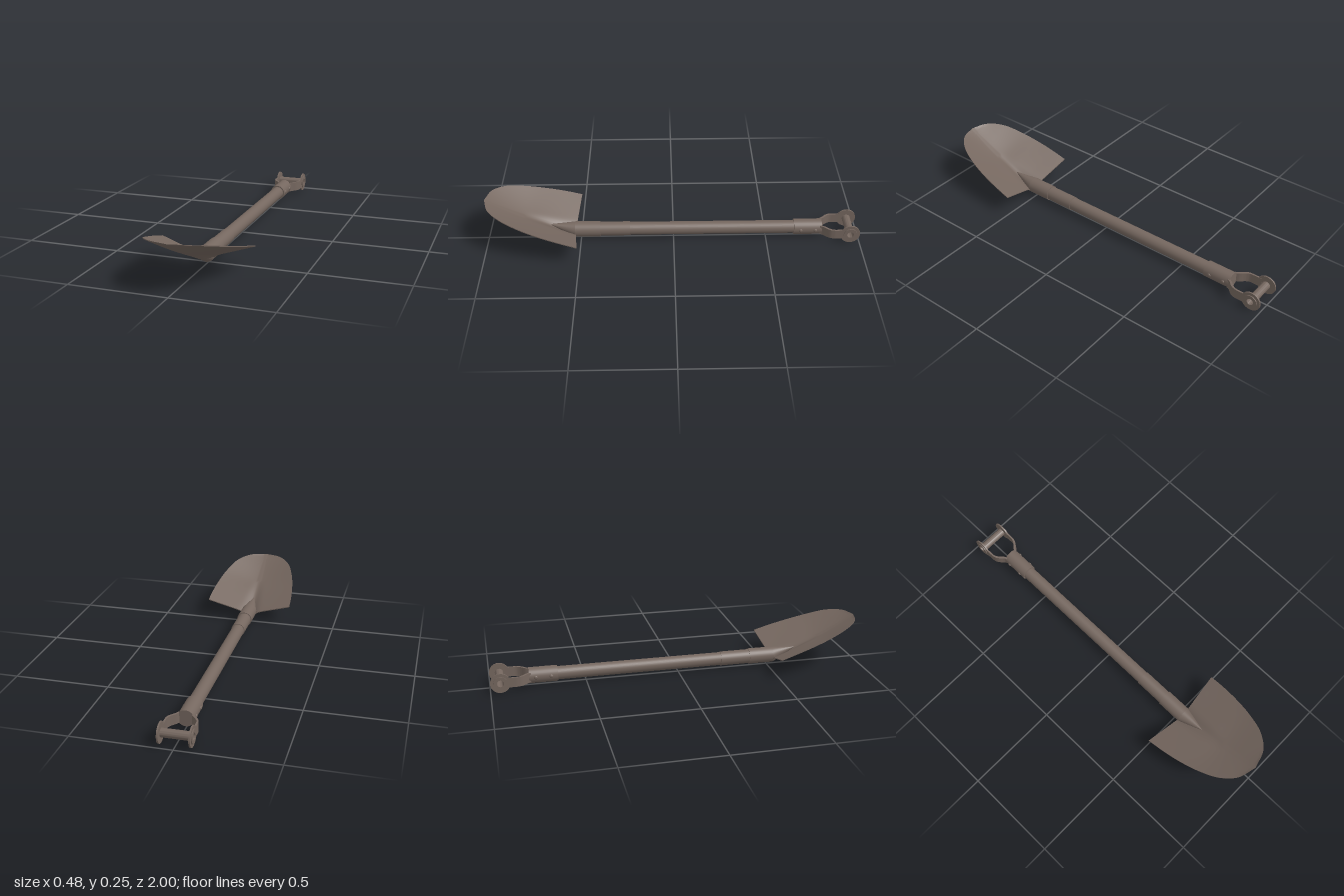
import * as THREE from 'three';
import { toCreasedNormals } from 'three/addons/utils/BufferGeometryUtils.js';

const steel = new THREE.MeshStandardMaterial({ color: 0x75675f, side: THREE.DoubleSide });
steel.name = 'brownSteel';
const AXIS_Y = 0.053;

function add(group, name, geometry) {
  const mesh = new THREE.Mesh(geometry, steel);
  mesh.name = name;
  group.add(mesh);
  return mesh;
}

// Round bar along z between two stations
function bar(group, name, z0, z1, r0, r1 = r0) {
  const g = new THREE.CylinderGeometry(r1, r0, z1 - z0, 32);
  g.rotateX(Math.PI / 2);
  g.translate(0, AXIS_Y, (z0 + z1) / 2);
  return add(group, name, g);
}

// Flat ring or tube along x
function ring(outer, inner, x0, x1) {
  const s = new THREE.Shape().absarc(0, 0, outer, 0, Math.PI * 2);
  s.holes.push(new THREE.Path().absarc(0, 0, inner, 0, Math.PI * 2, true));
  const g = new THREE.ExtrudeGeometry(s, { depth: x1 - x0, bevelEnabled: false, curveSegments: 20 });
  g.rotateY(Math.PI / 2);
  g.translate(x0, AXIS_Y, -0.948);
  return toCreasedNormals(g, 0.6);
}

// Dished blade: rows between a centre line and a rim curve, with a pressed groove
function bladeGeometry() {
  const curve = pts => new THREE.CatmullRomCurve3(pts.map(p => new THREE.Vector3(...p)));
  const rim = curve([[0.242, 0.11, 0.505], [0.236, 0.139, 0.6], [0.223, 0.168, 0.7],
    [0.2, 0.198, 0.8], [0.16, 0.229, 0.9], [0.095, 0.245, 0.97], [0, 0.25, 1]]);
  const spine = curve([[0, 0.035, 0.53], [0, 0.063, 0.6], [0, 0.102, 0.7],
    [0, 0.14, 0.8], [0, 0.19, 0.9], [0, 0.23, 0.97], [0, 0.25, 1]]);
  const rows = 36, cols = 40, ringSize = 2 * (cols + 1);
  const pos = [], index = [];
  for (let i = -1; i <= rows; i++) {
    const t = Math.max(i, 0) / rows;
    const e = rim.getPoint(t), c = spine.getPoint(t);
    const fade = Math.max(0, 1 - t / 0.5);
    const half = i < 0 ? 0 : 0.0025 * (1 - t ** 8);
    for (let k = 0; k < ringSize; k++) {
      const top = k <= cols;
      const u = ((top ? k : ringSize - 1 - k) / cols) * 2 - 1;
      const a = Math.abs(u), x = u * e.x;
      const groove = 0.025 * fade * Math.exp(-((x / (0.022 + 0.012 * fade)) ** 2));
      pos.push(x,
        c.y + (e.y - c.y) * a ** (1 + 0.6 * t) - groove + (top ? half : -half),
        c.z + (e.z - c.z) * a);
    }
  }
  for (let i = 0; i <= rows; i++) {
    for (let k = 0; k < ringSize; k++) {
      const a = i * ringSize + k, b = i * ringSize + (k + 1) % ringSize;
      const c = a + ringSize, d = b + ringSize;
      index.push(a, c, b, b, c, d);
    }
  }
  const g = new THREE.BufferGeometry();
  g.setAttribute('position', new THREE.Float32BufferAttribute(pos, 3));
  g.setIndex(index);
  return toCreasedNormals(g, 0.9);
}

// Curved fork arm on the +x side, flat strap of constant height
function armGeometry() {
  const s = new THREE.Shape();
  s.moveTo(0.028, -0.79);
  s.lineTo(0.038, -0.79);
  s.bezierCurveTo(0.04, -0.815, 0.079, -0.82, 0.079, -0.87);
  s.lineTo(0.079, -0.92);
  s.lineTo(0.07, -0.92);
  s.lineTo(0.07, -0.87);
  s.bezierCurveTo(0.07, -0.83, 0.032, -0.825, 0.028, -0.79);
  const g = new THREE.ExtrudeGeometry(s, { depth: 0.052, bevelEnabled: false, curveSegments: 14 });
  g.rotateX(Math.PI / 2);
  g.translate(0, AXIS_Y + 0.026, 0);
  return toCreasedNormals(g, 0.6);
}

export function createModel() {
  const model = new THREE.Group();
  model.name = 'shovel';

  add(model, 'blade', bladeGeometry());

  // Shaft, stepped socket and collar
  bar(model, 'shaft', -0.79, 0.25, 0.035);
  bar(model, 'shaftSleeve', 0.235, 0.41, 0.038);
  bar(model, 'socket', 0.395, 0.53, 0.042);
  bar(model, 'collar', -0.8, -0.65, 0.042);

  // Socket tip sinking into the groove of the blade
  const nose = add(model, 'socketNose', new THREE.CylinderGeometry(0.003, 0.042, 0.134, 32));
  nose.rotation.x = Math.PI / 2 - 0.23;
  nose.position.set(0, 0.069, 0.592);

  // Fork with eyes, washers and collar rivets, mirrored on both sides
  for (const side of [1, -1]) {
    const fork = new THREE.Group();
    fork.name = side > 0 ? 'leftFork' : 'rightFork';
    add(fork, 'arm', armGeometry());
    add(fork, 'eye', ring(0.052, 0.018, 0.071, 0.079));
    add(fork, 'washer', ring(0.036, 0.018, 0.079, 0.084));
    for (const z of [-0.685, -0.765]) {
      const rivet = add(fork, 'rivet', new THREE.SphereGeometry(0.01, 14, 8));
      rivet.scale.x = 0.5;
      rivet.position.set(0.0415, AXIS_Y, z);
    }
    fork.scale.x = side;
    model.add(fork);
  }

  // Hollow cross grip
  add(model, 'grip', ring(0.022, 0.018, -0.079, 0.079));
  return model;
}
